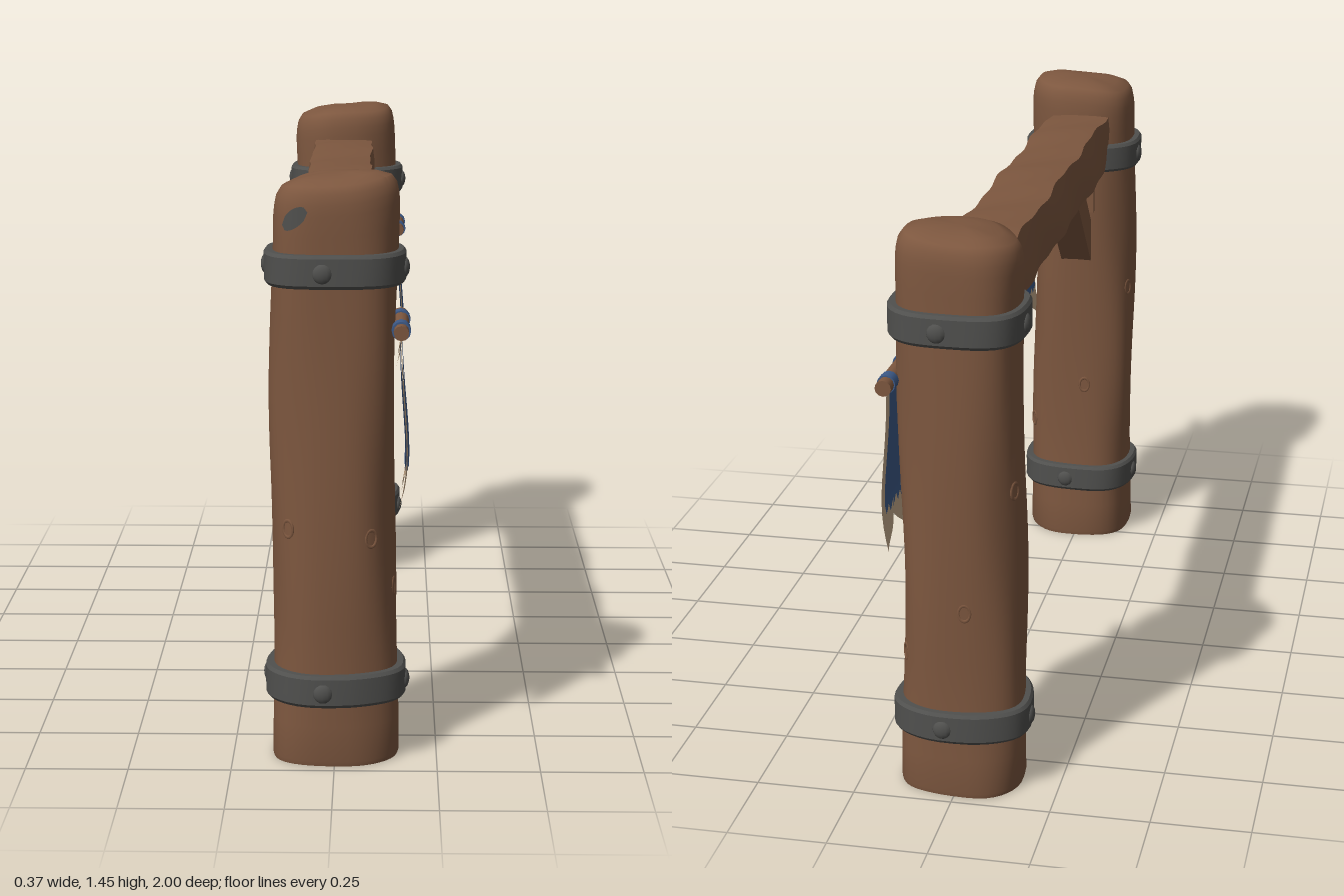
import * as THREE from 'three';
import { toCreasedNormals } from 'three/addons/utils/BufferGeometryUtils.js';

const mat = (name, color, side = THREE.FrontSide) => {
  const m = new THREE.MeshStandardMaterial({ color, side });
  m.name = name;
  return m;
};

export function createModel() {
  const wood = mat('wood', 0x7d573f);
  const iron = mat('iron', 0x50504e, THREE.DoubleSide);
  const blue = mat('blueCloth', 0x3d5a88, THREE.DoubleSide);
  const cream = mat('creamCloth', 0xc4a98a, THREE.DoubleSide);

  const model = new THREE.Group();
  model.name = 'timberGateway';

  const add = (parent, name, geo, material, x = 0, y = 0, z = 0) => {
    const mesh = new THREE.Mesh(geo, material);
    mesh.name = name;
    mesh.position.set(x, y, z);
    parent.add(mesh);
    return mesh;
  };

  // Skin a grid of points: rows rise, columns run round (or across)
  const skin = (rows, cols, point, crease = 0.7) => {
    const pos = [], index = [];
    for (let i = 0; i <= rows; i++) {
      for (let j = 0; j <= cols; j++) pos.push(...point(i, j / cols));
    }
    for (let i = 0; i < rows; i++) {
      for (let j = 0; j < cols; j++) {
        const a = i * (cols + 1) + j, b = a + cols + 1;
        index.push(a, b, a + 1, b, b + 1, a + 1);
      }
    }
    const geo = new THREE.BufferGeometry();
    geo.setAttribute('position', new THREE.Float32BufferAttribute(pos, 3));
    geo.setIndex(index);
    return toCreasedNormals(geo, crease);
  };

  // Squarish log cross-section, gently uneven along its height
  const squash = (v) => Math.sign(v) * Math.pow(Math.abs(v), 0.8);
  const logPoint = (t, y, seed, offset = 0, scale = 1) => {
    const flare = 0.005 * Math.max(0, 1 - y / 0.3);
    const bump = 0.003 * Math.sin(3 * t + 5 * y + seed) + 0.002 * Math.sin(5 * t - 9 * y + seed * 2);
    const r = flare + bump + offset;
    const cx = -0.003 + 0.003 * Math.sin(5 * y + seed);
    const lift = y > 1.3 ? 0.09 * squash(Math.cos(t)) * 0.15 * scale + 0.004 * Math.sin(3 * t + seed) * scale : 0;
    return [
      cx + squash(Math.cos(t)) * (0.15 + r) * scale,
      y + lift,
      squash(Math.sin(t)) * (0.131 + r) * scale,
    ];
  };

  // Log outline as [height, scale], closed at both ends
  const logRows = [[0, 0], [0, 0.98], [0.012, 1]];
  for (let y = 0.1; y < 1.36; y += 0.05) logRows.push([y, 1]);
  logRows.push([1.375, 0.985], [1.4, 0.95], [1.418, 0.87], [1.43, 0.65], [1.436, 0.35], [1.437, 0]);

  const bandProfile = [[-0.015, -0.04], [0.014, -0.04], [0.02, -0.032], [0.02, 0.032], [0.014, 0.04], [-0.015, 0.04]];

  const makePost = (seed) => {
    const post = new THREE.Group();
    post.name = 'post';
    add(post, 'log', skin(logRows.length - 1, 40, (i, u) =>
      logPoint(u * Math.PI * 2, logRows[i][0], seed, 0, logRows[i][1])), wood);

    // Iron bands with a rivet on each side
    for (const y of [0.195, 1.217]) {
      add(post, 'ironBand', skin(bandProfile.length - 1, 40, (i, u) => {
        const p = logPoint(u * Math.PI * 2, y, seed, bandProfile[i][0]);
        return [p[0], p[1] + bandProfile[i][1], p[2]];
      }, 0.5), iron);
      for (let k = 0; k < 4; k++) {
        const t = k * Math.PI / 2 + 0.1;
        const [x, , z] = logPoint(t, y, seed, 0.017);
        const rivet = add(post, 'rivet', new THREE.SphereGeometry(0.024, 12, 8), iron, x, y - 0.003, z);
        rivet.scale.set(k % 2 ? 1 : 0.5, 1, k % 2 ? 0.5 : 1);
      }
    }

    // Knots in the wood
    for (const [t, y] of [[1.0, 0.57], [2.3, 0.59], [0.2, 0.43], [-0.5, 0.36], [3.5, 0.8], [4.6, 0.5]]) {
      const [x, yy, z] = logPoint(t, y, seed, -0.002);
      const knot = add(post, 'knot', new THREE.TorusGeometry(0.018, 0.005, 6, 16), wood, x, yy, z);
      knot.scale.set(0.8, 1.15, 0.8);
      knot.rotation.y = Math.atan2(Math.cos(t) / 0.15, Math.sin(t) / 0.13);
    }
    return post;
  };

  // Banner hanging from a short rod
  const clothPanel = (halfWidth, bottom, offset) => skin(14, 16, (i, u) => {
    const s = u * 2 - 1, v = i / 14;
    const y = 1.075 + (bottom(s) - 1.075) * v;
    const drop = (1.075 - y) / 0.435;
    const x = 0.158 + 0.016 * Math.sin(Math.PI * Math.pow(drop, 2)) + 0.003 * Math.sin(s * 5) * drop;
    return [x + offset, y, s * halfWidth];
  }, 1);

  const makeBanner = () => {
    const banner = new THREE.Group();
    banner.name = 'banner';
    const rod = add(banner, 'rod', new THREE.CylinderGeometry(0.018, 0.02, 0.245, 12), wood, 0.158, 1.073, 0);
    rod.rotation.x = Math.PI / 2;
    for (const z of [-0.075, 0.075]) {
      const loop = add(banner, 'clothLoop', new THREE.CylinderGeometry(0.023, 0.023, 0.035, 12), blue, 0.158, 1.073, z);
      loop.rotation.x = Math.PI / 2;
    }
    add(banner, 'clothBorder', clothPanel(0.089, (s) => 0.64 + 0.065 * (1 - Math.abs(s)), 0), cream);
    for (const offset of [-0.003, 0.003]) {
      add(banner, 'clothField', clothPanel(0.068, (s) => 0.735 + 0.012 * Math.sin(s * 17), offset), blue);
    }
    return banner;
  };

  // Diagonal brace with its seat blocks and pegs
  const makeBrace = () => {
    const brace = new THREE.Group();
    brace.name = 'brace';
    const outline = new THREE.Shape([[0.44, 1.18], [0.73, 0.88], [0.73, 1.005], [0.56, 1.18]]
      .map(([z, y]) => new THREE.Vector2(z, y)));
    const strut = new THREE.ExtrudeGeometry(outline, { depth: 0.09, bevelEnabled: false });
    strut.translate(0, 0, -0.045).rotateY(-Math.PI / 2);
    add(brace, 'strut', strut, wood);
    add(brace, 'upperBlock', new THREE.BoxGeometry(0.11, 0.035, 0.17), wood, 0, 1.16, 0.635);
    add(brace, 'sideBlock', new THREE.BoxGeometry(0.11, 0.1, 0.03), wood, 0, 1.105, 0.705);
    for (const x of [-0.045, 0.045]) {
      const peg = add(brace, 'peg', new THREE.SphereGeometry(0.018, 10, 8), iron, x, 1.145, 0.525);
      peg.scale.x = 0.6;
    }
    return brace;
  };

  for (const s of [1, -1]) {
    const post = makePost(s > 0 ? 0.6 : 2.4);
    post.position.z = s * 0.84;
    if (s < 0) post.scale.y = 1.006;
    model.add(post);
    const banner = makeBanner();
    banner.position.z = s * 0.853;
    model.add(banner);
    const brace = makeBrace();
    if (s < 0) brace.rotation.y = Math.PI;
    model.add(brace);
  }

  // Worn iron-grey patch near the top of the front post
  const patch = skin(4, 8, (i, u) => {
    const across = (u - 0.5) * 2, half = 0.024 * Math.sqrt(Math.max(0, 1 - across * across));
    const t = 2.14 - across * 0.24;
    const y = 1.34 + across * 0.016 + (i / 4 * 2 - 1) * half;
    const p = logPoint(t, y, 0.6, 0.002);
    return [p[0], y, p[2]];
  });
  add(model, 'wornPatch', patch, iron, 0, 0, 0.84);

  // Hewn crossbeam, slightly wavy along its length
  const beam = new THREE.BoxGeometry(0.176, 0.172, 1.5, 4, 4, 40);
  const p = beam.attributes.position;
  for (let i = 0; i < p.count; i++) {
    const x = p.getX(i), y = p.getY(i), z = p.getZ(i);
    const edge = Math.abs(x) > 0.08 && Math.abs(y) > 0.08 ? 0.95 : 1;
    const wave = 0.003 * Math.sin(z * 13 + y * 20) + 0.002 * Math.sin(z * 29 + x * 25);
    p.setXYZ(i, x * edge + wave, y * edge + (y > 0 ? wave - 0.005 * z : wave * 0.5), z);
  }
  add(model, 'crossbeam', toCreasedNormals(beam, 0.6), wood, -0.005, 1.264, 0);

  return model;
}
